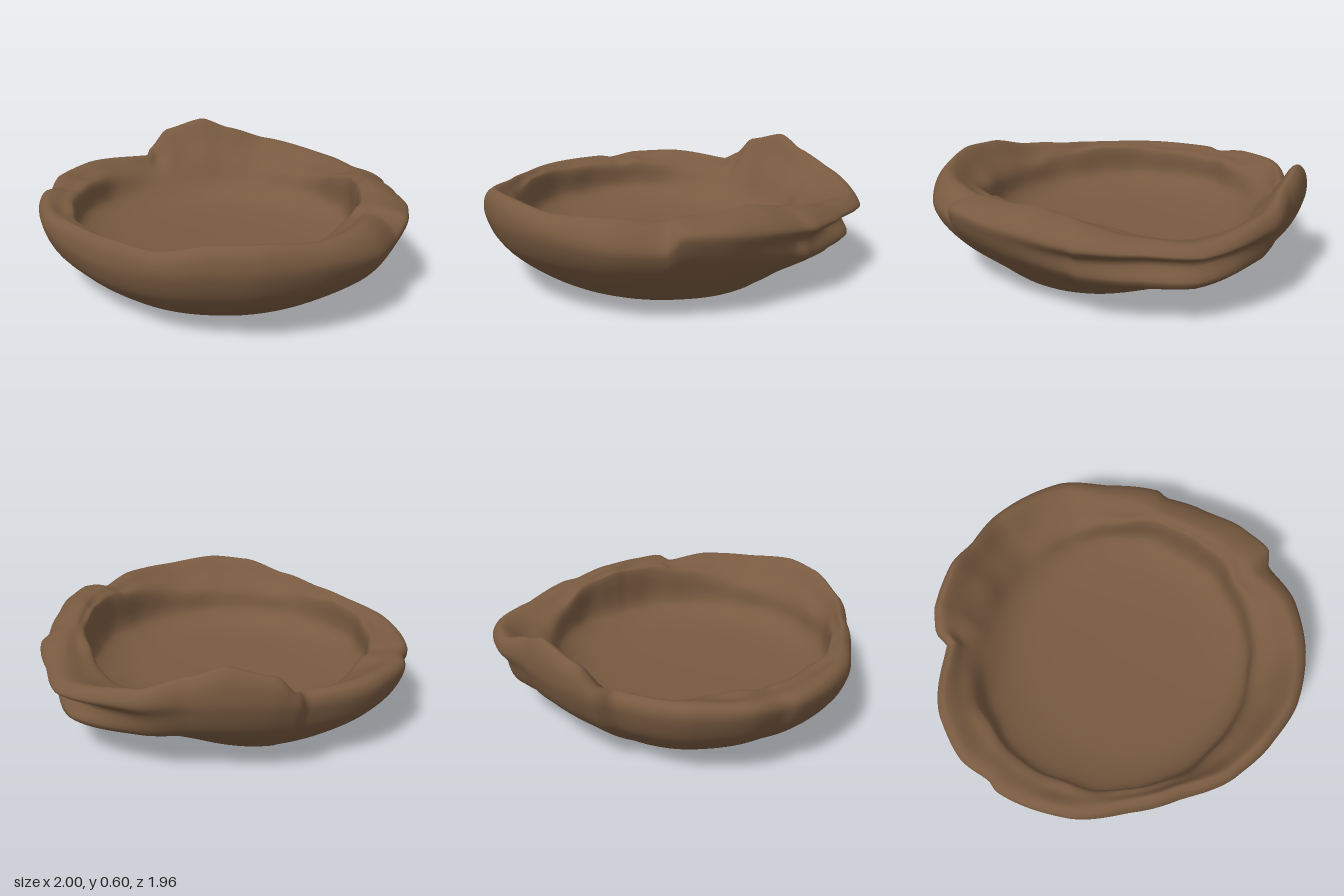
import * as THREE from 'three';

// Rim stations: [angle (0 = +x, 90 = front), edge radius, edge height, crown height]
const RIM = [
  [0, 0.985, 0.44, 0.49],
  [10, 1.012, 0.45, 0.49],
  [14, 0.985, 0.37, 0.47],
  [28, 1.03, 0.39, 0.5],
  [45, 1.035, 0.42, 0.5],
  [62, 1.03, 0.43, 0.53],
  [75, 1.0, 0.42, 0.52],
  [90, 0.97, 0.38, 0.46],
  [108, 0.91, 0.33, 0.44],
  [124, 0.91, 0.33, 0.43],
  [143, 0.96, 0.36, 0.42],
  [166, 0.99, 0.37, 0.41],
  [170, 0.97, 0.36, 0.4],
  [180, 1.0, 0.38, 0.42],
  [195, 0.98, 0.38, 0.43],
  [219, 0.88, 0.36, 0.41],
  [223, 0.94, 0.4, 0.44],
  [229, 0.95, 0.44, 0.54],
  [244, 0.94, 0.45, 0.6],
  [255, 0.93, 0.43, 0.54],
  [269, 0.98, 0.4, 0.47],
  [294, 1.02, 0.36, 0.41],
  [310, 0.96, 0.37, 0.42],
  [327, 0.96, 0.38, 0.46],
  [331, 0.93, 0.38, 0.47],
  [345, 0.94, 0.41, 0.5],
];

// Blend the two stations either side of an angle
function rimAt(deg) {
  let k = RIM.length - 1;
  while (RIM[k][0] > deg) k--;
  const a = RIM[k], b = RIM[(k + 1) % RIM.length];
  const t = (deg - a[0]) / ((b[0] || 360) - a[0]);
  const s = 0.5 * t + 0.5 * t * t * (3 - 2 * t);
  return a.map((v, i) => v + (b[i] - v) * s);
}

// Cross-section: under the base, up the belly, over the lip, down to the floor
function sectionAt(deg) {
  const { degToRad, lerp } = THREE.MathUtils;
  const a = degToRad(deg);
  const facing = (dir) => Math.max(0, Math.cos(a - degToRad(dir))) ** 3;
  const back = facing(279);                        // sagging ledge at the back
  const groove = facing(303) ** 2;                 // fold under the back rim
  const right = facing(0);
  const [, ro, yo, yc] = rimAt(deg);
  const rc = ro - 0.05 - 0.12 * facing(350);       // broad folded lip on one side
  const lump = 0.005 * Math.sin(a * 11 + 1) + 0.003 * Math.sin(a * 19);
  const ri = Math.min(rc - 0.05, 0.76 - 0.02 * Math.cos(a) + 0.04 * Math.sin(a)) + lump;
  const flat = Math.min(1, 1.5 * Math.max(facing(150), facing(345)));  // flat lip, steep wall
  const yi = lerp(0.31 + 0.4 * (yc - 0.42), yc - 0.03, flat);
  const rb = 0.6 - 0.17 * back;
  const floor = 0.68 + 0.06 * Math.sin(a);
  const belly = (f, h) => [rb + (ro - rb) * f, yo * h];
  const profile = [
    [0, 0], [rb * 0.5, 0], [rb * 0.92, 0],
    belly(0.1, 0.04),
    belly(0.45 + 0.06 * back, 0.24 + 0.1 * back + 0.05 * right),
    belly(0.84 + 0.06 * groove, 0.58 + 0.06 * right),
    belly(0.97 - 0.16 * groove, 0.84),
    [ro, yo],
    [lerp(ro, rc, 0.45) + 0.008, lerp(yo, yc, 0.7)],
    [rc, yc],
    [(rc + ri) / 2, (yc + yi) / 2 + lump],
    [ri, yi],
    [lerp(floor + 0.02, ri - 0.02, flat), 0.24],
    [floor - 0.08, 0.175],
    [0.35, 0.145], [0, 0.135],
  ];
  return new THREE.CatmullRomCurve3(
    profile.map(([r, y]) => new THREE.Vector3(r * Math.cos(a), y, r * Math.sin(a))),
    false, 'centripetal');
}

// Loft the cross-sections around the bowl
function bowlGeometry(columns = 240, rows = 75) {
  const pos = [], index = [];
  for (let j = 0; j < columns; j++) {
    const curve = sectionAt((j * 360) / columns);
    for (let i = 0; i <= rows; i++) {
      const p = curve.getPoint(i / rows);
      pos.push(p.x, Math.max(0, p.y), p.z);
    }
  }
  const at = (i, j) => (j % columns) * (rows + 1) + i;
  for (let j = 0; j < columns; j++) {
    for (let i = 0; i < rows; i++) {
      const a = at(i, j), b = at(i + 1, j), c = at(i + 1, j + 1), d = at(i, j + 1);
      if (i < rows - 1) index.push(a, b, c);
      if (i === rows - 1) index.push(a, b, d);
      else if (i > 0) index.push(a, c, d);
    }
  }
  const g = new THREE.BufferGeometry();
  g.setAttribute('position', new THREE.Float32BufferAttribute(pos, 3));
  g.setIndex(index);
  g.computeVertexNormals();
  return g;
}

export function createModel() {
  const clay = new THREE.MeshStandardMaterial({ color: 0x785a40 });
  clay.name = 'brownClay';
  const group = new THREE.Group();
  group.name = 'clayDish';
  const bowl = new THREE.Mesh(bowlGeometry(), clay);
  bowl.name = 'bowl';
  group.add(bowl);
  return group;
}
